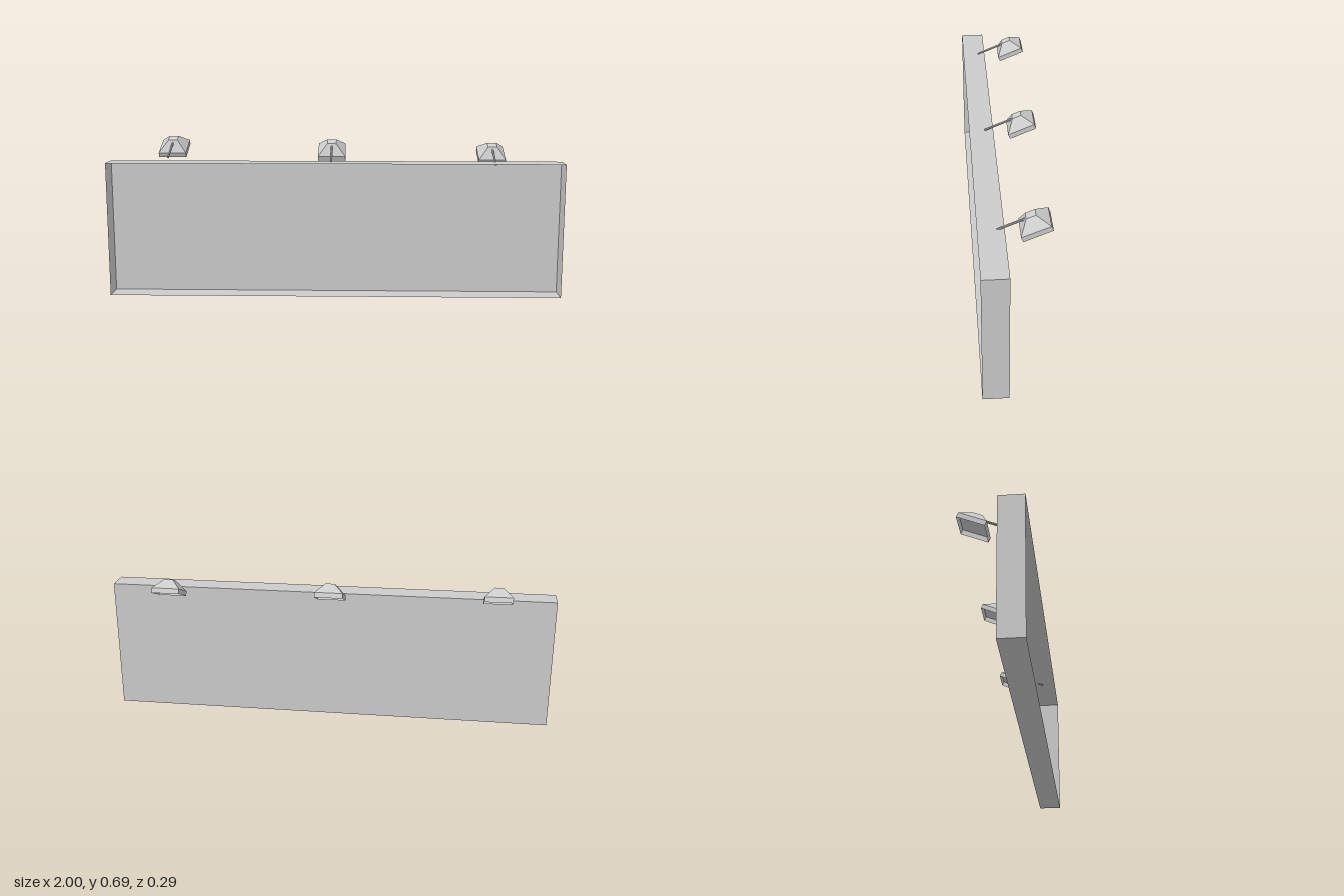
import * as THREE from 'three';

const grey = new THREE.MeshStandardMaterial({ color: 0xcccccc, flatShading: true, side: THREE.DoubleSide });
grey.name = 'grey';

function addMesh(parent, name, geometry) {
  const mesh = new THREE.Mesh(geometry, grey);
  mesh.name = name;
  parent.add(mesh);
  return mesh;
}

// Thin tray: a box whose front face is left out
function openBox(w, h, d) {
  const geo = new THREE.BoxGeometry(w, h, d);
  const index = Array.from(geo.index.array);
  index.splice(24, 6);
  geo.setIndex(index);
  geo.clearGroups();
  return geo;
}

// Square prism or truncated pyramid with sides aligned to x and z
function squareFrustum(top, bottom, h, open) {
  return new THREE.CylinderGeometry(top * Math.SQRT1_2, bottom * Math.SQRT1_2, h, 4, 1, open)
    .rotateY(Math.PI / 4);
}

// Floodlight: pyramid hood, open skirt below it and a rod towards the front
function createLamp(x, y, z) {
  const lamp = new THREE.Group();
  lamp.name = 'floodlight';
  const size = 0.123, hood = 0.043, skirt = 0.022;
  addMesh(lamp, 'lampHood', squareFrustum(0.04, size, hood, false)).position.y = hood / 2;
  addMesh(lamp, 'lampSkirt', squareFrustum(size, size, skirt, true)).position.y = -skirt / 2;
  const rod = addMesh(lamp, 'lampArm', new THREE.CylinderGeometry(0.005, 0.005, 0.136, 8).rotateX(Math.PI / 2));
  rod.position.set(0, 0.0315, 0.088);
  lamp.position.set(x, y, z);
  lamp.rotation.x = THREE.MathUtils.degToRad(22.7);
  return lamp;
}

export function createModel() {
  const model = new THREE.Group();
  model.name = 'billboard';

  // Board with a recessed front
  addMesh(model, 'board', openBox(2, 0.592, 0.105)).position.set(0, 0.296, 0.0935);

  // Three floodlights, each set a little lower than the last
  const spots = [[-0.738, 0.642, -0.08], [-0.018, 0.628, -0.077], [0.703, 0.615, -0.073]];
  for (const [x, y, z] of spots) model.add(createLamp(x, y, z));

  return model;
}
